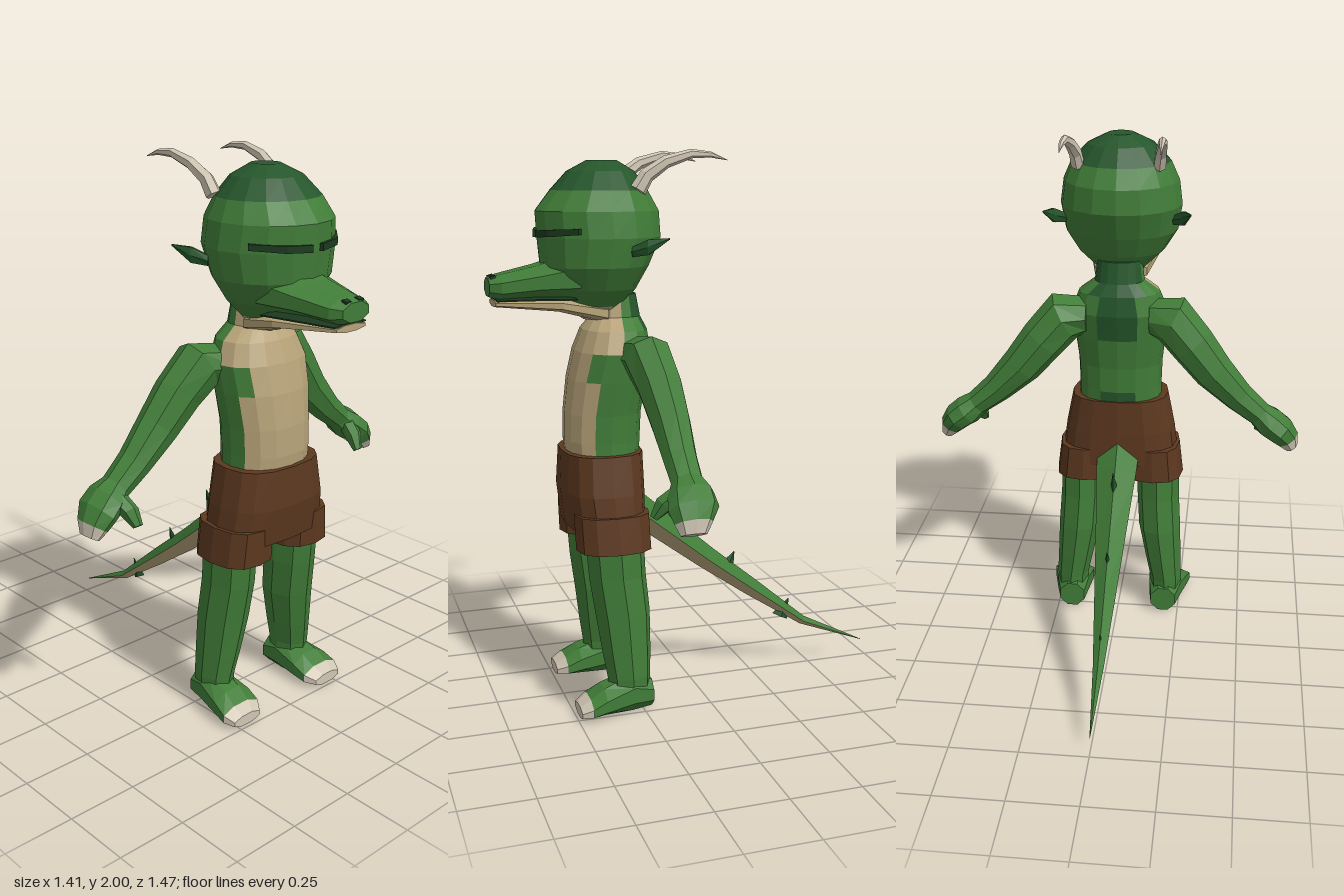
import * as THREE from 'three';

const mat = (name, color) => {
  const m = new THREE.MeshStandardMaterial({ color, flatShading: true });
  m.name = name;
  return m;
};
const X = new THREE.Vector3(1, 0, 0), Y = new THREE.Vector3(0, 1, 0), Z = new THREE.Vector3(0, 0, 1);

// Capped loft along a path of [x, y, z, ru, rv]; rv lies along v, ru across it.
// pick(centroid, normal) chooses the material of every face.
function loft(name, path, v, mats, { n = 8, phase = 0, pow = 1, axis = null, pick = () => 0 } = {}) {
  const pts = path.map(p => new THREE.Vector3(p[0], p[1], p[2]));
  const grow = phase ? 1 / Math.cos(Math.PI / n) : 1;
  const soft = k => Math.sign(k) * Math.pow(Math.abs(k), pow);
  const rings = path.map((p, i) => {
    const a = axis || pts[Math.min(i + 1, pts.length - 1)].clone().sub(pts[Math.max(i - 1, 0)]).normalize();
    const u = v.clone().cross(a).normalize();
    return Array.from({ length: n }, (_, j) => {
      const t = phase + j / n * Math.PI * 2;
      return pts[i].clone().addScaledVector(u, p[3] * grow * soft(Math.cos(t)))
        .addScaledVector(v, p[4] * grow * soft(Math.sin(t)));
    });
  });
  const buckets = mats.map(() => []);
  const face = (...c) => {
    const mid = new THREE.Vector3();
    c.forEach(q => mid.addScaledVector(q, 1 / c.length));
    const nor = c[1].clone().sub(c[0]).cross(c[2].clone().sub(c[0])).normalize();
    const b = buckets[pick(mid, nor)];
    for (let k = 1; k < c.length - 1; k++) [c[0], c[k], c[k + 1]].forEach(q => b.push(q.x, q.y, q.z));
  };
  const last = rings.length - 1;
  for (let j = 0; j < n; j++) {
    const k = (j + 1) % n;
    for (let i = 0; i < last; i++) face(rings[i][j], rings[i][k], rings[i + 1][k], rings[i + 1][j]);
    face(pts[0], rings[0][k], rings[0][j]);
    face(pts[last], rings[last][j], rings[last][k]);
  }
  const g = new THREE.BufferGeometry();
  let start = 0;
  buckets.forEach((b, i) => { g.addGroup(start, b.length / 3, i); start += b.length / 3; });
  g.setAttribute('position', new THREE.Float32BufferAttribute(buckets.flat(), 3));
  g.computeVertexNormals();
  const mesh = new THREE.Mesh(g, mats.length > 1 ? mats : mats[0]);
  mesh.name = name;
  return mesh;
}

// Upright body rings given as [y, half width, back z, front z]
const body = rows => rows.map(([y, rx, b, f]) => [0, y, (b + f) / 2, rx, (f - b) / 2]);

export function createModel() {
  const model = new THREE.Group();
  model.name = 'hornedReptile';
  const green = mat('skinGreen', 0x417d38), dark = mat('darkGreen', 0x25562b);
  const tan = mat('bellyTan', 0xb7a379), brown = mat('shortsBrown', 0x5c381f);
  const cream = mat('hornCream', 0xd0c6b4), line = mat('mouthShadow', 0x1b3a1f);
  const add = (...a) => model.add(loft(...a));

  // Head with a dark crown and pale throat
  add('head', body([
    [1.41, .05, .27, .40], [1.46, .10, .25, .46], [1.52, .165, .21, .51], [1.60, .215, .165, .55],
    [1.70, .23, .12, .56], [1.79, .218, .125, .565], [1.86, .187, .165, .51],
    [1.925, .125, .21, .45], [1.962, .05, .27, .38]]), Z, [green, dark, tan],
  { n: 16, axis: Y, pick: c => c.y > 1.86 ? 1 : c.y < 1.45 && c.z > .3 ? 2 : 0 });

  // Snout and jaw
  const oct = { n: 8, phase: Math.PI / 8, axis: Z };
  add('snout', [[0, 1.565, .44, .15, .08], [0, 1.55, .57, .12, .055],
    [0, 1.532, .70, .088, .044], [0, 1.532, .738, .062, .032]], Y, [green], oct);
  add('mouthLine', [[0, 1.492, .45, .142, .006], [0, 1.492, .58, .117, .006], [0, 1.488, .715, .076, .005]], Y, [line], oct);
  add('lowerJaw', [[0, 1.435, .33, .10, .035], [0, 1.47, .50, .135, .025], [0, 1.477, .72, .07, .012]], Y, [tan], oct);

  // Torso and neck with belly panel and dark back patches
  add('torso', body([
    [.90, .165, .21, .47], [.98, .162, .205, .478], [1.08, .165, .20, .475], [1.20, .178, .18, .46],
    [1.30, .185, .165, .435], [1.375, .155, .175, .405], [1.42, .095, .195, .37], [1.50, .085, .21, .36]]),
  Z, [green, tan, dark], {
    n: 16, pow: .9, axis: Y,
    pick: c => c.z > (c.y > 1.33 ? .3 : .39) ? 1
      : c.z < .25 && Math.abs(c.x) < .08 && (c.y > 1.23 || c.y < 1.0) ? 2 : 0
  });

  // Shorts
  add('shorts', body([[.665, .235, .20, .48], [.80, .218, .20, .497], [.94, .19, .203, .49]]),
    Z, [brown], { n: 16, pow: .75, axis: Y });

  // Tail, pale underneath
  add('tail', [[0, .73, .25, .06, .085], [0, .655, .155, .055, .078], [0, .475, -.07, .043, .056],
    [0, .34, -.25, .034, .04], [0, .178, -.47, .017, .02], [0, .065, -.73, .001, .001]],
  X, [green, tan], { n: 4, pick: (c, nor) => nor.y < 0 ? 1 : 0 });
  for (const [y, z] of [[.716, .035], [.49, -.18], [.275, -.41]])
    add('tailSpike', [[0, y - .07, z + .035, .035, .012], [0, y, z, .002, .001]], X, [dark], { n: 4 });

  for (const s of [1, -1]) {
    const side = s > 0 ? 'left' : 'right';
    const m = rows => rows.map(([x, ...r]) => [s * x, ...r]);

    // Horn, ear, closed eye and nostril
    add(side + 'Horn', m([[.15, 1.86, .235, .03, .026], [.155, 1.91, .205, .027, .023],
      [.165, 1.955, .14, .022, .019], [.17, 1.983, .05, .016, .014],
      [.172, 1.98, -.02, .01, .009], [.172, 1.962, -.08, .001, .001]]), X, [cream], { n: 6 });
    add(side + 'Ear', m([[.205, 1.655, .27, .014, .02], [.24, 1.672, .225, .014, .03],
      [.27, 1.70, .16, .002, .003]]), Y, [dark], { n: 6 });
    add(side + 'EyeLine', m([[.02, 1.712, .558, .012, .012], [.11, 1.717, .532, .016, .012],
      [.20, 1.724, .45, .012, .01]]), Y, [line], { n: 4, phase: Math.PI / 4 });
    const nostril = new THREE.Mesh(new THREE.BoxGeometry(.025, .008, .02), line);
    nostril.position.set(s * .03, 1.568, .722);
    nostril.rotation.x = .3;
    nostril.name = side + 'Nostril';
    model.add(nostril);

    // Arm and hand with pale finger tips
    add(side + 'Arm', m([[.12, 1.285, .25, .07, .08], [.205, 1.285, .22, .098, .085],
      [.285, 1.195, .20, .088, .08], [.37, 1.09, .19, .078, .07], [.47, .99, .19, .06, .06],
      [.55, .925, .19, .05, .056], [.59, .893, .19, .06, .08], [.633, .86, .195, .056, .087],
      [.663, .82, .205, .046, .065], [.68, .785, .21, .026, .045]]), Z, [green, cream],
    { pick: c => c.y < .825 && Math.abs(c.x) > .6 ? 1 : 0 });
    add(side + 'Thumb', m([[.575, .90, .22, .035, .035], [.56, .86, .275, .032, .032],
      [.55, .815, .305, .015, .018]]), X, [green], { n: 6 });

    // Short leg, leg and foot with pale toes
    add(side + 'ShortsLeg', m([[.14, .60, .335, .116, .137], [.135, .73, .34, .105, .137]]),
      Z, [brown], { n: 12, pow: .8, axis: Y });
    add(side + 'Leg', m([[.195, .05, .295, .06, .075], [.195, .13, .297, .065, .08],
      [.183, .22, .302, .073, .09], [.166, .36, .31, .085, .101],
      [.157, .50, .326, .085, .105], [.155, .66, .335, .085, .108]]), Z, [green], { axis: Y });
    add(side + 'Foot', m([[.19, .055, .215, .05, .05], [.195, .07, .29, .066, .07],
      [.203, .052, .40, .082, .05], [.208, .036, .452, .084, .034], [.212, .024, .49, .062, .02]]),
    Y, [green, cream], { ...oct, pick: c => c.z > .455 ? 1 : 0 });
  }
  return model;
}
